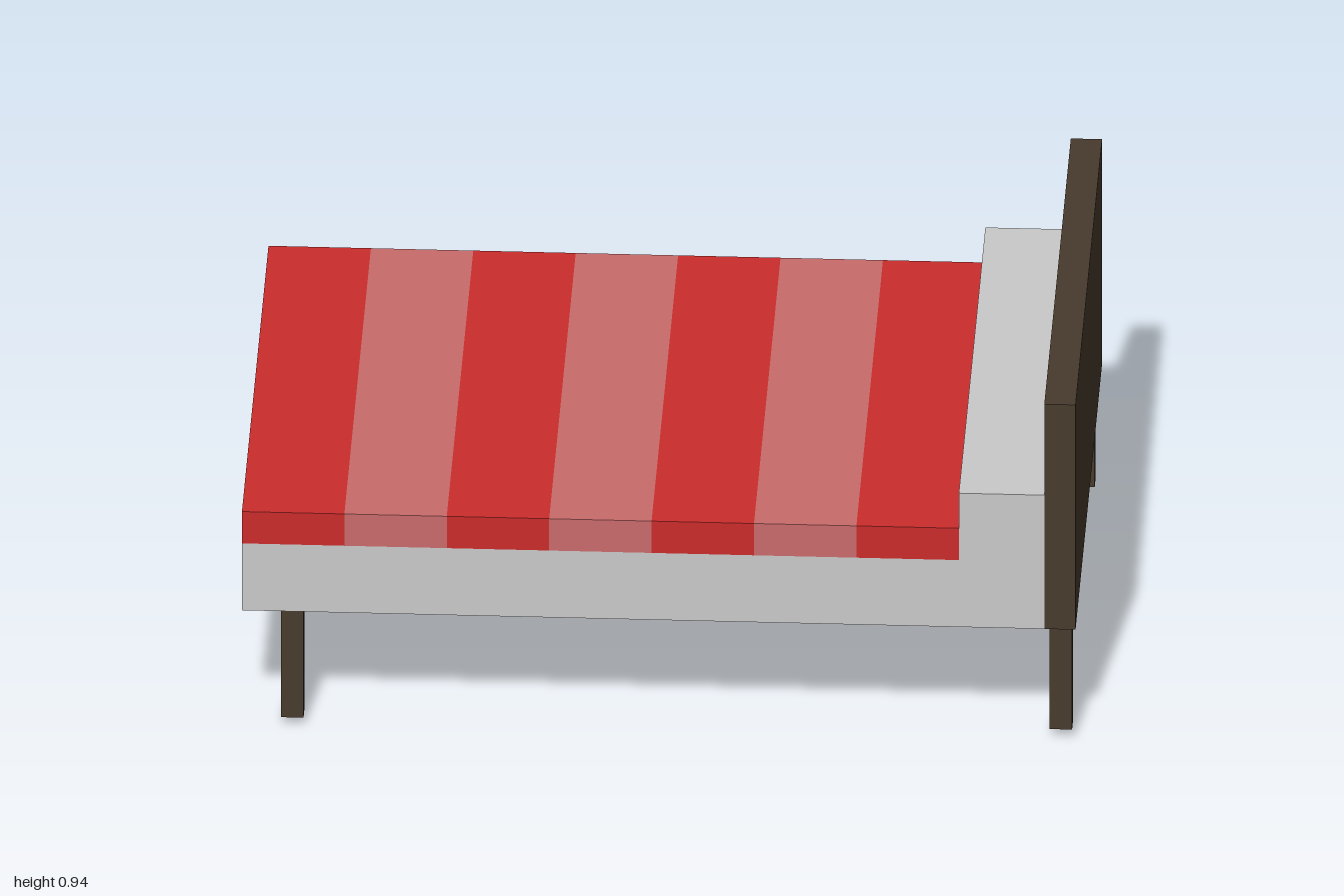
import * as THREE from 'three';

const material = (name, color) => {
  const m = new THREE.MeshStandardMaterial({ color });
  m.name = name;
  return m;
};

export function createModel() {
  const bed = new THREE.Group();
  bed.name = 'bed';

  const wood = material('dark wood', 0x483b2d);
  const linen = material('grey linen', 0xcacaca);
  const red = material('red stripe', 0xcb2c2c);
  const pink = material('faded red stripe', 0xca6b6b);

  // Box given by its limits on each axis
  const box = (name, [x0, x1], [y0, y1], [z0, z1], mat) => {
    const mesh = new THREE.Mesh(new THREE.BoxGeometry(x1 - x0, y1 - y0, z1 - z0), mat);
    mesh.position.set((x0 + x1) / 2, (y0 + y1) / 2, (z0 + z1) / 2);
    mesh.name = name;
    bed.add(mesh);
  };

  const width = [-0.66, 0.66];
  const headX = 0.925, pillowX = 0.72, baseY = 0.322, blanketY = 0.505;

  // Mattress with a wooden underside (faces: +x, -x, +y, -y, +z, -z)
  box('mattress', [-1, headX], [baseY, blanketY], width, [linen, linen, linen, wood, linen, linen]);
  box('pillow', [pillowX, headX], [blanketY, 0.688], width, linen);
  box('headboard', [headX, 1], [baseY, 0.937], width, wood);

  // Blanket of seven stripes, with a wooden face at the foot end
  const stripes = 7, step = (pillowX + 1) / stripes;
  for (let i = 0; i < stripes; i++) {
    const c = i % 2 ? pink : red;
    const x = -1 + i * step;
    box('blanketStripe', [x, x + step], [blanketY, 0.592], width, [c, i ? c : wood, c, c, c, c]);
  }

  // Slightly uneven legs: name, centre x, centre z, foot height
  const legs = [
    ['footLegFront', -0.88, 0.621, 0.022],
    ['footLegBack', -0.959, -0.627, 0],
    ['headLegFront', 0.963, 0.602, 0.028],
    ['headLegBack', 0.96, -0.585, 0.038],
  ];
  for (const [name, x, z, y] of legs) {
    box(name, [x - 0.027, x + 0.027], [y, baseY], [z - 0.021, z + 0.021], wood);
  }
  return bed;
}
